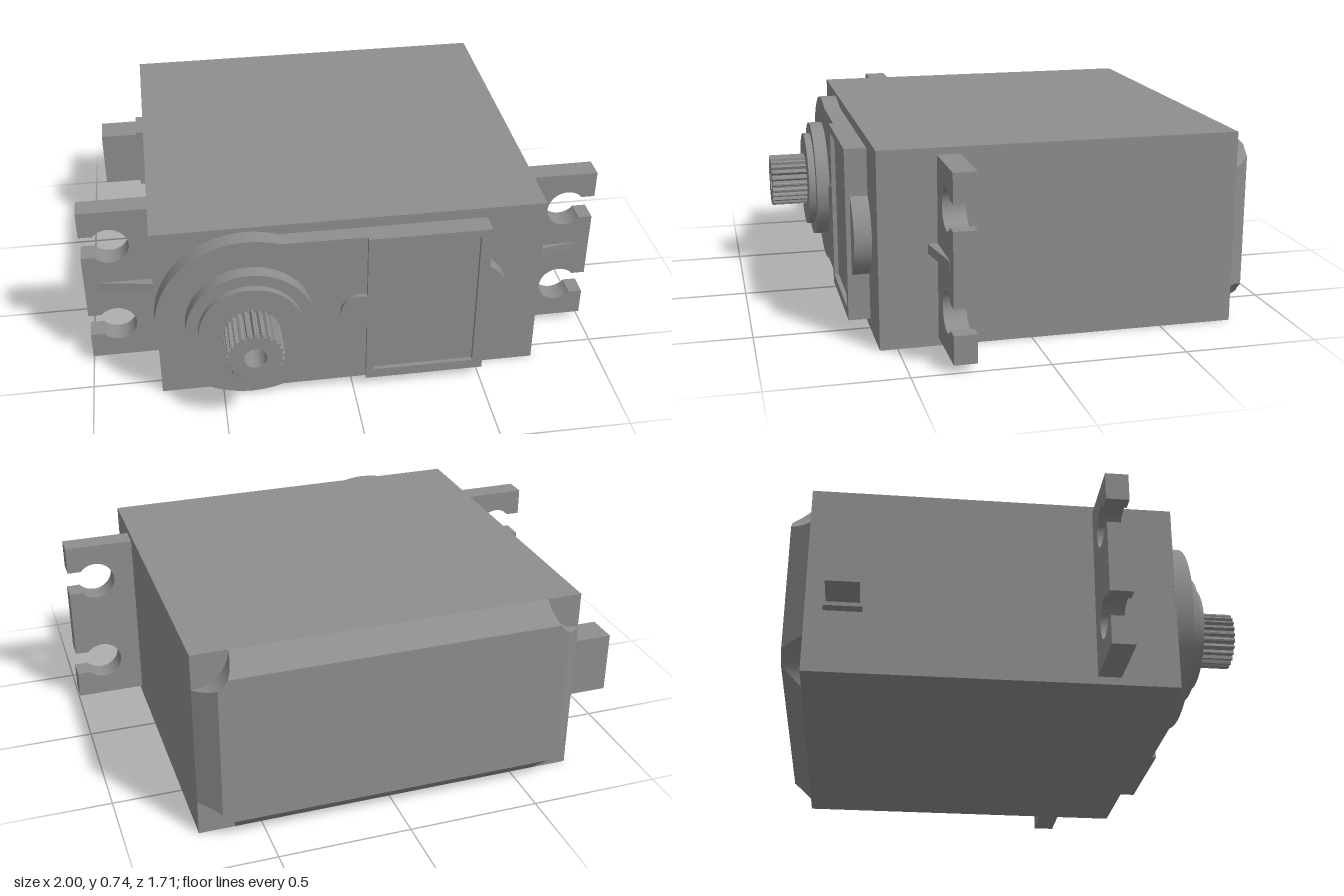
import * as THREE from 'three';
import { toCreasedNormals } from 'three/addons/utils/BufferGeometryUtils.js';

const W = 0.735, H = 0.735, MID = H / 2; // half width, height, mid height of the case
const SHAFT_X = -0.39;

export function createModel() {
  const model = new THREE.Group();
  const grey = new THREE.MeshStandardMaterial({ color: 0x8e8e8e });
  grey.name = 'grey plastic';

  const add = (name, geometry, parent = model) => {
    const mesh = new THREE.Mesh(geometry, grey);
    mesh.name = name;
    parent.add(mesh);
    return mesh;
  };
  const box = (name, x0, x1, y0, y1, z0, z1) => add(name,
    new THREE.BoxGeometry(x1 - x0, y1 - y0, z1 - z0)
      .translate((x0 + x1) / 2, (y0 + y1) / 2, (z0 + z1) / 2));
  // Extrudes a shape in the xy plane from z0 to z1, with smooth arcs
  const slab = (shape, z0, z1) => toCreasedNormals(
    new THREE.ExtrudeGeometry(shape, { depth: z1 - z0, bevelEnabled: false, curveSegments: 40 })
      .translate(0, 0, z0), 0.45);
  const rect = (Type, x0, x1, y0, y1) => {
    const s = new Type();
    s.moveTo(x0, y0); s.lineTo(x1, y0); s.lineTo(x1, y1); s.lineTo(x0, y1); s.closePath();
    return s;
  };
  const disc = (name, x, r, z0, z1) => add(name,
    new THREE.CylinderGeometry(r, r, z1 - z0, 64).rotateX(Math.PI / 2)
      .translate(x, MID, (z0 + z1) / 2));

  // Main case
  box('case', -W, W, 0, H, -0.78, 0.565);
  add('backCover', backCover());

  // Front plate: round end around the shaft running into a straight strip
  const plate = new THREE.Shape();
  const a = Math.acos(0.12 / 0.35);
  plate.absarc(SHAFT_X, MID, 0.35, a, Math.PI * 2 - a, false);
  plate.lineTo(0.05, 0.04);
  plate.lineTo(0.05, 0.695);
  plate.closePath();
  add('frontPlate', slab(plate, 0.56, 0.63));
  disc('sideBoss', 0.43, 0.17, 0.56, 0.63);

  // Lid with a recessed panel and a rounded tab
  const lid = rect(THREE.Shape, 0.05, 0.51, 0.04, 0.695);
  lid.holes.push(rect(THREE.Path, 0.08, 0.47, 0.08, 0.665));
  add('lidFrame', slab(lid, 0.56, 0.647));
  box('lidPanel', 0.07, 0.48, 0.07, 0.675, 0.56, 0.63);
  const tab = new THREE.Shape();
  tab.moveTo(0.05, MID + 0.072);
  tab.lineTo(0.022, MID + 0.072);
  tab.absarc(0.022, MID, 0.072, Math.PI / 2, Math.PI * 1.5, false);
  tab.lineTo(0.05, MID - 0.072);
  add('lidTab', slab(tab, 0.56, 0.647));

  // Stepped collar and toothed output shaft
  disc('collarLower', SHAFT_X, 0.24, 0.56, 0.683);
  disc('collarUpper', SHAFT_X, 0.195, 0.56, 0.71);
  const gear = new THREE.Shape();
  const teeth = 25;
  for (let i = 0; i < teeth * 4; i++) {
    const r = i % 4 < 2 ? 0.107 : 0.095;
    const t = (i / (teeth * 4)) * Math.PI * 2;
    const x = SHAFT_X + r * Math.cos(t), y = MID + r * Math.sin(t);
    if (i) gear.lineTo(x, y); else gear.moveTo(x, y);
  }
  gear.closePath();
  const bore = new THREE.Path();
  bore.absarc(SHAFT_X, MID, 0.042, 0, Math.PI * 2, true);
  gear.holes.push(bore);
  add('outputShaft', slab(gear, 0.7, 0.855));

  // Mounting ears, the second turned half way round
  const ear = new THREE.Shape();
  const r = 0.075, g = 0.048, cx = 0.89, k = Math.asin(g / r);
  ear.moveTo(0.73, -0.34);
  ear.lineTo(1, -0.34);
  for (const cy of [-0.185, 0.185]) {
    ear.lineTo(1, cy - g);
    ear.absarc(cx, cy, r, -k, k - Math.PI * 2, true);
    ear.lineTo(1, cy + g);
  }
  ear.lineTo(1, 0.34);
  ear.lineTo(0.73, 0.34);
  ear.closePath();
  const earGeometry = slab(ear, 0.265, 0.35);

  // Tapered rib on each ear
  const rib = new THREE.Shape();
  rib.moveTo(0.73, -0.34);
  rib.lineTo(0.945, -0.34);
  rib.lineTo(0.945, -0.352);
  rib.lineTo(0.73, -0.386);
  rib.closePath();
  const ribGeometry = new THREE.ExtrudeGeometry(rib, { depth: 0.036, bevelEnabled: false })
    .rotateX(-Math.PI / 2).translate(0, -0.018, 0);
  for (const side of ['left', 'right']) {
    const group = new THREE.Group();
    group.name = side + 'Ear';
    group.position.y = MID + 0.002;
    if (side === 'right') group.rotation.z = Math.PI;
    add('earPlate', earGeometry, group);
    // the rib profile is drawn with its y running along -z
    add('earRib', ribGeometry, group);
    model.add(group);
  }

  // Cable outlet
  box('cableCollar', -0.775, -0.73, 0.24, 0.505, -0.715, -0.575);
  box('cableBlock', -0.925, -0.77, 0.255, 0.49, -0.705, -0.585);

  return model;
}

// Chamfered back cover with a round screw recess at each corner
function backCover() {
  const R = 0.135, DEPTH = 0.075, N = 10, RINGS = 4;
  const ring = (d) => {
    const pts = [], lim = Math.asin(d / R);
    // corners in counter-clockwise order, arcs running concave
    [[1, 1], [-1, 1], [-1, -1], [1, -1]].forEach(([sx, sy], c) => {
      for (let i = 0; i <= N; i++) {
        const u = c % 2 ? N - i : i;
        const t = lim + (Math.PI / 2 - 2 * lim) * (u / N);
        pts.push(new THREE.Vector3(sx * (W - R * Math.sin(t)),
          MID + sy * (MID - R * Math.cos(t)), -0.78 - d));
      }
    });
    return pts;
  };
  const pos = [];
  const put = (...vs) => vs.forEach((v) => pos.push(v.x, v.y, v.z));
  const rings = [];
  for (let j = 0; j <= RINGS; j++) rings.push(ring((DEPTH * j) / RINGS));
  // Order each ring by its direction around the centre so the winding is known
  const n = rings[0].length;
  for (const pts of rings) {
    pts.sort((p, q) => Math.atan2(p.y - MID, p.x) - Math.atan2(q.y - MID, q.x));
  }
  for (let j = 0; j < RINGS; j++) {
    for (let i = 0; i < n; i++) {
      const k = (i + 1) % n;
      const a = rings[j][i], b = rings[j][k], c = rings[j + 1][k], d = rings[j + 1][i];
      put(a, c, b, a, d, c);
    }
  }
  // Flat back face
  const last = rings[RINGS];
  for (const [p, q, s] of THREE.ShapeUtils.triangulateShape(last, [])) {
    put(last[p], last[s], last[q]);
  }
  const geometry = new THREE.BufferGeometry();
  geometry.setAttribute('position', new THREE.Float32BufferAttribute(pos, 3));
  return toCreasedNormals(geometry, 0.45);
}
